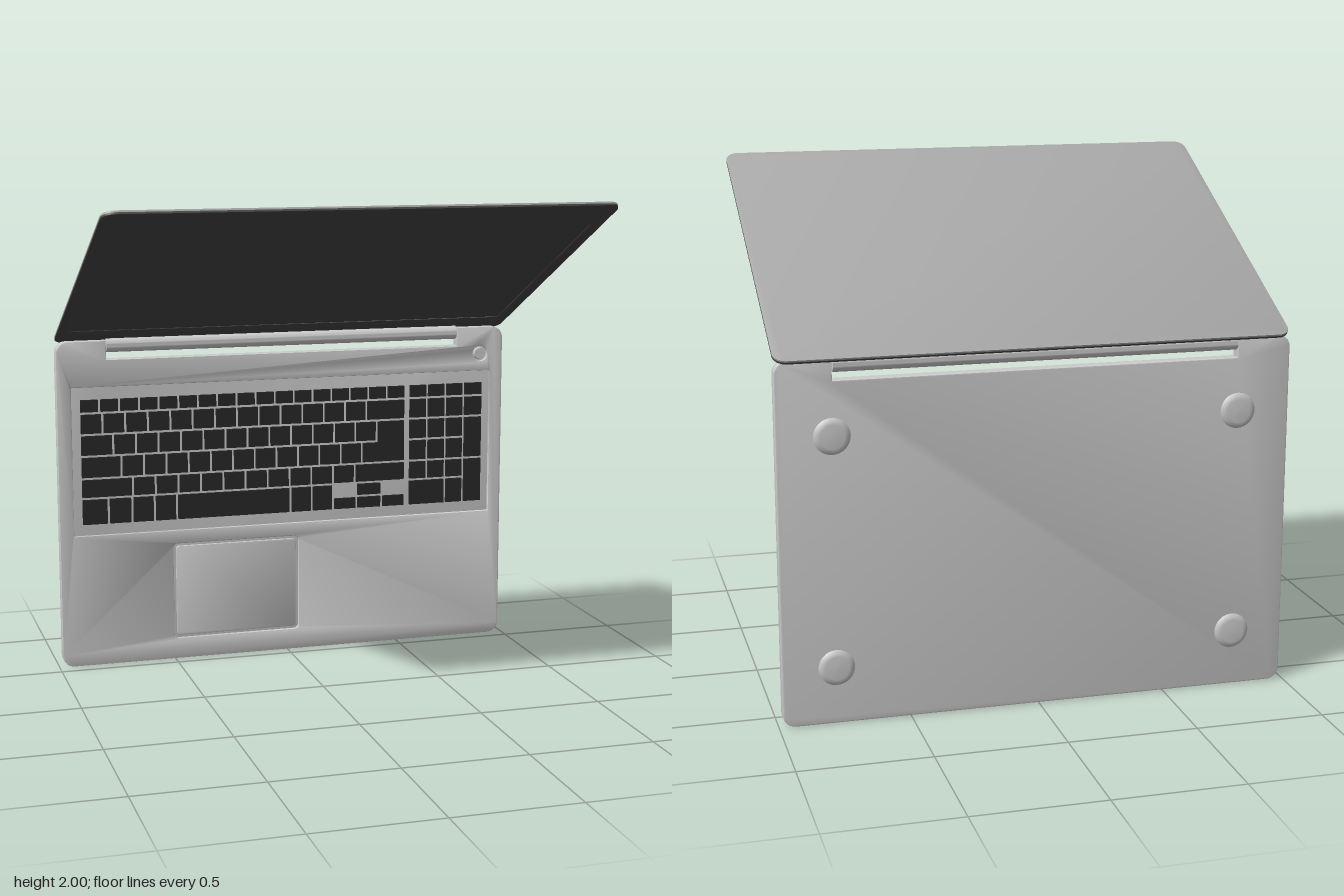
import * as THREE from 'three';
import { toCreasedNormals } from 'three/addons/utils/BufferGeometryUtils.js';

const mat = (color) => new THREE.MeshStandardMaterial({ color });
const grey = mat(0xcccccc), coverGrey = mat(0xa8a8a8), dark = mat(0x444444), keyDark = mat(0x282828);

function add(parent, name, geometry, material, x = 0, y = 0, z = 0) {
  const mesh = new THREE.Mesh(geometry, material);
  mesh.name = name;
  mesh.position.set(x, y, z);
  parent.add(mesh);
  return mesh;
}

// Traces a rounded rectangle onto a Shape or Path
function roundRect(path, x0, y0, x1, y1, r) {
  path.moveTo(x0 + r, y0);
  path.lineTo(x1 - r, y0);
  path.absarc(x1 - r, y0 + r, r, -Math.PI / 2, 0);
  path.lineTo(x1, y1 - r);
  path.absarc(x1 - r, y1 - r, r, 0, Math.PI / 2);
  path.lineTo(x0 + r, y1);
  path.absarc(x0 + r, y1 - r, r, Math.PI / 2, Math.PI);
  path.lineTo(x0, y0 + r);
  path.absarc(x0 + r, y0 + r, r, Math.PI, Math.PI * 1.5);
  return path;
}

// Extrudes a shape from z0 to z1 with a small bevel inside its outline
function plate(shape, z0, z1, bevel) {
  const geometry = new THREE.ExtrudeGeometry(shape, {
    depth: z1 - z0 - 2 * bevel, bevelEnabled: bevel > 0, bevelThickness: bevel,
    bevelSize: bevel, bevelOffset: -bevel, bevelSegments: 2, curveSegments: 8,
  });
  geometry.translate(0, 0, z0 + bevel);
  return toCreasedNormals(geometry, 0.6);
}

const W = 0.985, H = 1.39;

// Base outline with the notch for the hinge
function baseOutline() {
  const s = new THREE.Shape(), r = 0.05, n = 0.775, ny = 1.31;
  s.moveTo(-W + r, 0);
  s.lineTo(W - r, 0);
  s.absarc(W - r, r, r, -Math.PI / 2, 0);
  s.lineTo(W, H - r);
  s.absarc(W - r, H - r, r, 0, Math.PI / 2);
  s.lineTo(n, H);
  s.lineTo(n, ny);
  s.lineTo(-n, ny);
  s.lineTo(-n, H);
  s.lineTo(-W + r, H);
  s.absarc(-W + r, H - r, r, Math.PI / 2, Math.PI);
  s.lineTo(-W, r);
  s.absarc(-W + r, r, r, Math.PI, Math.PI * 1.5);
  return s;
}

function makeBase() {
  const base = new THREE.Group();
  base.name = 'base';
  add(base, 'bottomCase', plate(baseOutline(), -0.61, -0.57, 0.005), grey);

  // Top deck with openings for keyboard, touchpad and power button
  const deck = baseOutline();
  const button = new THREE.Path();
  button.absarc(0.88, 1.273, 0.034, 0, Math.PI * 2);
  deck.holes.push(
    roundRect(new THREE.Path(), -0.925, 0.565, 0.928, 1.197, 0.004),
    roundRect(new THREE.Path(), -0.502, 0.09, 0.052, 0.507, 0.02),
    button,
  );
  add(base, 'topDeck', plate(deck, -0.6, -0.556, 0.005), grey);
  add(base, 'touchpad', plate(roundRect(new THREE.Shape(), -0.49, 0.102, 0.04, 0.495, 0.014), -0.575, -0.559, 0.002), grey);
  const power = new THREE.CylinderGeometry(0.024, 0.027, 0.018, 32).rotateX(Math.PI / 2);
  add(base, 'powerButton', power, grey, 0.88, 1.273, -0.566);

  // Domed feet on the underside
  const profile = [[0, 0.015], [0.045, 0.014], [0.06, 0.01], [0.07, 0]].map(([x, y]) => new THREE.Vector2(x, y));
  const foot = new THREE.LatheGeometry(profile.reverse(), 32).rotateX(-Math.PI / 2);
  for (const x of [-0.78, 0.78]) for (const y of [0.22, 1.105]) add(base, 'foot', foot, grey, x, y, -0.609);
  return base;
}

function makeKeyboard() {
  const keyboard = new THREE.Group();
  keyboard.name = 'keyboard';
  const gap = 0.011;
  const key = (x0, x1, y0, y1) => add(keyboard, 'key',
    new THREE.BoxGeometry(x1 - x0 - gap, y1 - y0 - gap, 0.013), keyDark, (x0 + x1) / 2, (y0 + y1) / 2, -0.5645);
  const ones = (n) => Array(n).fill(1);

  // Main block: key widths of each row, scaled to the block's width; 0-padded arrows are added below
  const left = -0.892, right = 0.538;
  const ys = [1.149, 1.087, 0.996, 0.904, 0.809, 0.724, 0.608];
  const rows = [
    ones(17),
    [...ones(13), 1.85],
    [1.45, ...ones(12), 1.35],
    [1.8, ...ones(11), 2.05],
    [2.25, ...ones(10), 2.35],
    [1.2, 1.05, 1, 1, 5.2, 1, 1],
  ];
  rows.forEach((widths, i) => {
    const end = i === 5 ? 0.21 : right;
    const unit = (end - left) / widths.reduce((a, b) => a + b, 0);
    let x = left;
    for (const w of widths) {
      key(x, x + w * unit, ys[i + 1], ys[i]);
      x += w * unit;
    }
  });
  // Bridge that joins the two halves of the tall enter key
  add(keyboard, 'enterKeyBridge', new THREE.BoxGeometry(0.119, 0.03, 0.013), keyDark, 0.473, ys[3], -0.5645);

  // Arrow keys
  const arrows = [0.21, 0.316, 0.43, right], mid = 0.665;
  for (let i = 0; i < 3; i++) key(arrows[i], arrows[i + 1], ys[6], mid);
  key(arrows[1], arrows[2], mid, ys[5]);

  // Number pad with two tall keys and a wide zero
  const px = [0.554, 0.639, 0.724, 0.808, 0.897];
  for (let r = 0; r < 5; r++) {
    for (let c = 0; c < (r < 2 ? 4 : 3); c++) key(px[c], px[c + 1], ys[r + 1], ys[r]);
  }
  key(px[0], px[2], ys[6], ys[5]);
  key(px[2], px[3], ys[6], ys[5]);
  key(px[3], px[4], ys[4], ys[2]);
  key(px[3], px[4], ys[6], ys[4]);
  return keyboard;
}

// Lid built upright with the screen towards +z, then tilted forward over the base
function makeLid() {
  const lid = new THREE.Group();
  lid.name = 'lid';
  const L = 1.385;
  const outline = () => roundRect(new THREE.Shape(), -W, 0, W, L, 0.05);
  add(lid, 'lidCover', plate(outline(), -0.006, 0.003, 0.002), coverGrey);
  const bezel = outline();
  bezel.holes.push(roundRect(new THREE.Path(), -0.935, 0.137, 0.935, 1.215, 0.003));
  add(lid, 'screenBezel', plate(bezel, 0.001, 0.01, 0.002), dark);
  add(lid, 'screen', new THREE.BoxGeometry(1.88, 1.09, 0.005), dark, 0, 0.676, 0.0045);
  lid.position.set(0, 1.388, -0.62);
  lid.rotation.x = Math.atan2(1.25, 0.61);
  return lid;
}

export function createModel() {
  const laptop = new THREE.Group();
  laptop.name = 'laptop';
  laptop.add(makeBase(), makeKeyboard(), makeLid());
  // Hinge barrel in the notch
  const barrel = toCreasedNormals(new THREE.CylinderGeometry(0.03, 0.03, 1.545, 32).rotateZ(Math.PI / 2), 0.6);
  add(laptop, 'hinge', barrel, grey, 0, 1.368, -0.588);
  return laptop;
}
